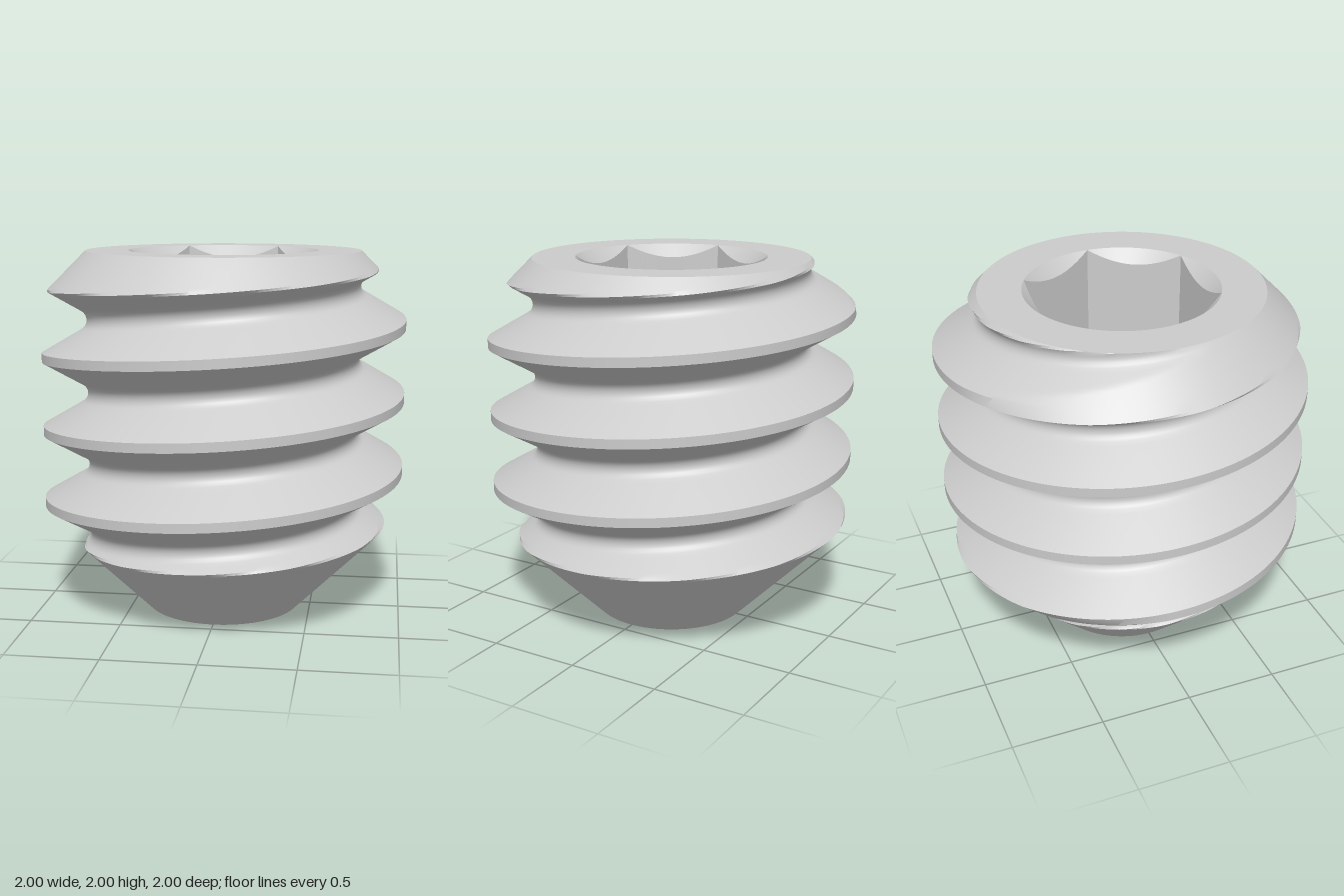
import * as THREE from 'three';
import { toCreasedNormals } from 'three/addons/utils/BufferGeometryUtils.js';

const HEIGHT = 2, PITCH = 0.402, CREST_Y = 0.805;
const CREST = 0.025, ROOT_START = 0.152, ROOT_R = 0.752;
const FILLET = (PITCH / 2 - ROOT_START) / Math.sin(Math.PI / 3);
const POINT_R = 0.43, SOCKET_R = 0.52, SOCKET_FLAT = 0.45, SOCKET_FLOOR = 1.2;
const COLUMNS = 144, TAU = Math.PI * 2;

// Thread radius at a height offset from the crest: flat crest, 30 degree flank, round root
function threadRadius(offset) {
  const d = Math.abs(offset - PITCH * Math.round(offset / PITCH));
  if (d <= CREST) return 1;
  if (d <= ROOT_START) return 1 - (d - CREST) * Math.sqrt(3);
  const v = PITCH / 2 - d;
  return ROOT_R + FILLET - Math.sqrt(Math.max(0, FILLET * FILLET - v * v));
}

// Thread cut by the conical point below and the chamfer above
function bodyRadius(phi, y) {
  const thread = threadRadius(y - CREST_Y - PITCH * phi / TAU);
  return Math.min(thread, POINT_R + y, ROOT_R + HEIGHT - y);
}

// Skin of rows running around the axis; point(row, phi) gives [radius, height]
function ringSkin(name, rows, point, material) {
  const positions = [];
  const at = (row, col) => {
    const phi = TAU * col / COLUMNS;
    const [r, y] = point(row, phi);
    // wrap the angle so the seam closes exactly
    const a = TAU * (col % COLUMNS) / COLUMNS;
    return new THREE.Vector3(r * Math.cos(a), y, -r * Math.sin(a));
  };
  const triangle = (a, b, c) => {
    const area = b.clone().sub(a).cross(c.clone().sub(a)).length();
    if (area > 1e-9) for (const p of [a, b, c]) positions.push(p.x, p.y, p.z);
  };
  for (let j = 0; j < rows.length - 1; j++) {
    for (let i = 0; i < COLUMNS; i++) {
      const a = at(rows[j], i), b = at(rows[j], i + 1);
      const c = at(rows[j + 1], i + 1), d = at(rows[j + 1], i);
      triangle(a, b, c);
      triangle(a, c, d);
    }
  }
  const geometry = new THREE.BufferGeometry();
  geometry.setAttribute('position', new THREE.Float32BufferAttribute(positions, 3));
  const mesh = new THREE.Mesh(toCreasedNormals(geometry, 0.5), material);
  mesh.name = name;
  return mesh;
}

export function createModel() {
  const group = new THREE.Group();
  group.name = 'setScrew';
  const material = new THREE.MeshStandardMaterial({ color: 0xcccccc });

  // Row offsets within one pitch, placed on the edges of the thread profile
  const half = [-CREST, CREST];
  const STEPS = 10;
  for (let i = 1; i <= STEPS; i++) half.push(CREST + (ROOT_START - CREST) * i / STEPS);
  for (let i = 1; i <= 8; i++) {
    const angle = -Math.PI / 3 + (TAU / 3) * i / 8;
    half.push(PITCH / 2 + FILLET * Math.sin(angle));
  }
  for (let i = 1; i < STEPS; i++) half.push(PITCH - ROOT_START + (ROOT_START - CREST) * i / STEPS);

  // Threaded body, with rows following the helix
  const rows = [];
  for (let turn = -4; turn <= 3; turn++) {
    for (const offset of half) rows.push(CREST_Y + turn * PITCH + offset);
  }
  group.add(ringSkin('threadedBody', rows, (row, phi) => {
    const y = THREE.MathUtils.clamp(row + PITCH * phi / TAU, 0, HEIGHT);
    return [bodyRadius(phi, y), y];
  }, material));

  // Hollow cup at the tip
  group.add(ringSkin('cupPoint', [[0, 0.24], [0.415, 0], [POINT_R, 0]], (row) => row, material));

  // Top face and hexagonal socket with a conical lead-in
  const hexRadius = (phi) => {
    const a = phi % (TAU / 6) - TAU / 12;
    return Math.min(SOCKET_R, SOCKET_FLAT / Math.cos(a));
  };
  group.add(ringSkin('hexSocket', [0, 1, 2, 3, 4], (row, phi) => {
    const h = hexRadius(phi);
    return [
      [ROOT_R, HEIGHT],
      [SOCKET_R, HEIGHT],
      [h, HEIGHT - (SOCKET_R - h)],
      [h, SOCKET_FLOOR],
      [0, SOCKET_FLOOR],
    ][row];
  }, material));

  return group;
}
